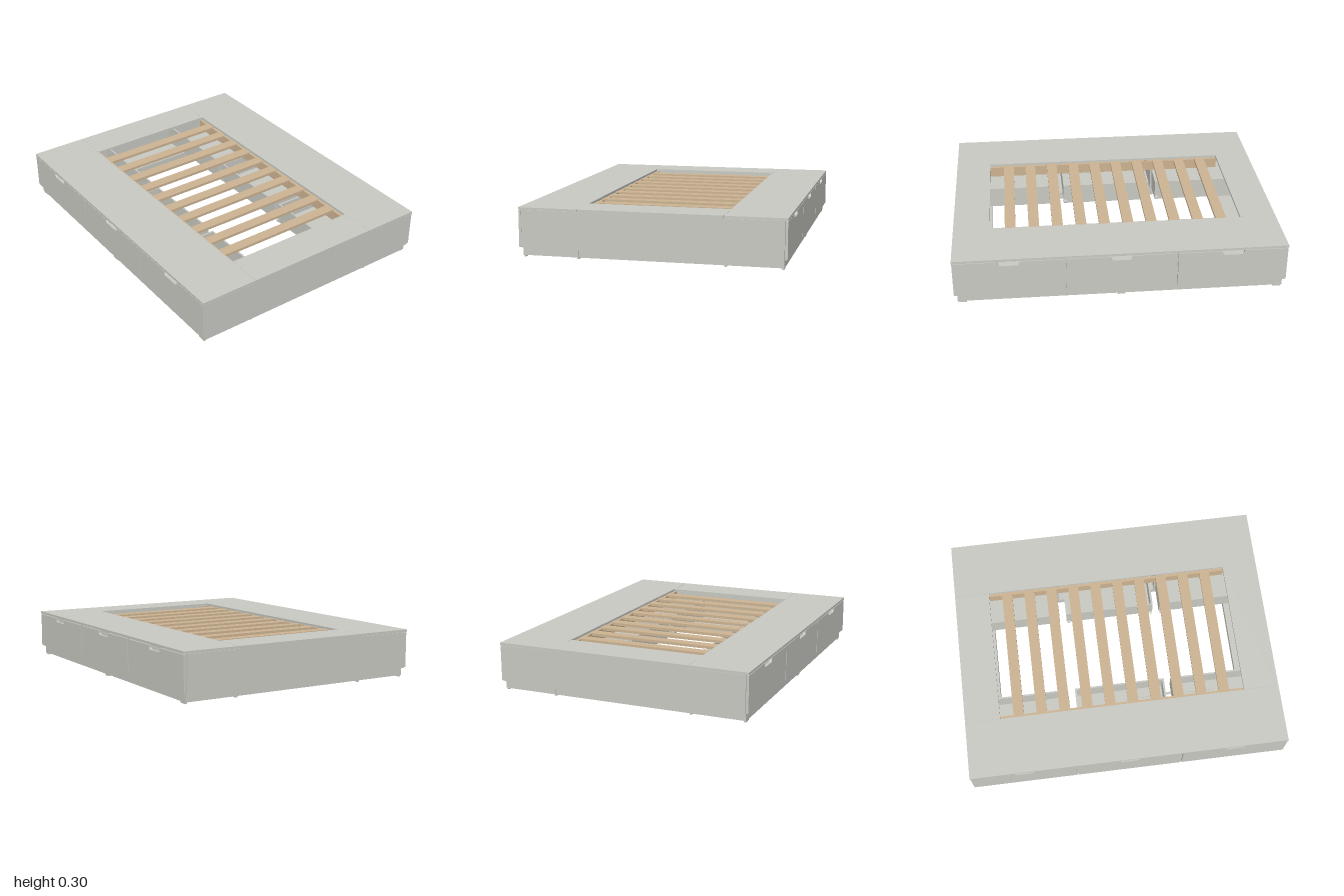
import * as THREE from 'three';

export function createModel() {
  const bed = new THREE.Group();
  bed.name = 'storageBed';
  const paint = new THREE.MeshStandardMaterial({ color: 0xc9cac3 });
  paint.name = 'pale grey paint';
  const wood = new THREE.MeshStandardMaterial({ color: 0xcdb493 });
  wood.name = 'light wood';

  // Box given by its minimum and maximum on each axis
  function box(parent, name, mat, x0, x1, y0, y1, z0, z1) {
    const mesh = new THREE.Mesh(new THREE.BoxGeometry(x1 - x0, y1 - y0, z1 - z0), mat);
    mesh.position.set((x0 + x1) / 2, (y0 + y1) / 2, (z0 + z1) / 2);
    mesh.name = name;
    parent.add(mesh);
    return mesh;
  }

  // Drawer front with a rounded finger notch in its upper edge
  function drawerFront(width) {
    const w = width / 2, h = 0.218, n = 0.065, d = 0.026, r = 0.018;
    const s = new THREE.Shape();
    s.moveTo(-w, 0);
    s.lineTo(w, 0);
    s.lineTo(w, h);
    s.lineTo(n, h);
    s.lineTo(n, h - d + r);
    s.quadraticCurveTo(n, h - d, n - r, h - d);
    s.lineTo(-n + r, h - d);
    s.quadraticCurveTo(-n, h - d, -n, h - d + r);
    s.lineTo(-n, h);
    s.lineTo(-w, h);
    const g = new THREE.ExtrudeGeometry(s, { depth: 0.015, bevelEnabled: false, curveSegments: 6 });
    g.rotateY(Math.PI / 2);
    return g;
  }
  const frontGeometry = drawerFront(0.66);

  // Each drawer: front, floor, back, two sides and rear rollers
  function makeDrawer(z, z0, z1) {
    const drawer = new THREE.Group();
    drawer.name = 'drawer';
    const front = new THREE.Mesh(frontGeometry, paint);
    front.name = 'drawerFront';
    front.position.set(0.777, 0.06, z);
    drawer.add(front);
    box(drawer, 'drawerFloor', paint, 0.26, 0.777, 0.068, 0.076, z0, z1);
    box(drawer, 'drawerBack', paint, 0.26, 0.27, 0.068, 0.2, z0, z1);
    box(drawer, 'drawerSide', paint, 0.27, 0.777, 0.068, 0.2, z0, z0 + 0.012);
    box(drawer, 'drawerSide', paint, 0.27, 0.777, 0.068, 0.2, z1 - 0.012, z1);
    for (const ze of [z0 + 0.012, z1 - 0.012]) {
      const roller = new THREE.Mesh(new THREE.CylinderGeometry(0.011, 0.011, 0.014, 16), paint);
      roller.rotation.x = Math.PI / 2;
      roller.position.set(0.256, 0.085, ze);
      roller.name = 'drawerRoller';
      drawer.add(roller);
    }
    return drawer;
  }

  // One storage side, facing +x
  function makeSide() {
    const side = new THREE.Group();
    side.name = 'storageSide';
    box(side, 'sideDeck', paint, 0.431, 0.793, 0.282, 0.297, -1, 1);
    box(side, 'sidePlinth', paint, 0.431, 0.773, 0.01, 0.055, -0.98, 0.98);
    for (const z of [-0.332, 0.332])
      box(side, 'divider', paint, 0.431, 0.773, 0.055, 0.282, z - 0.009, z + 0.009);
    side.add(makeDrawer(-0.667, -0.96, -0.335));
    side.add(makeDrawer(0, -0.29, 0.29));
    side.add(makeDrawer(0.667, 0.335, 0.96));
    box(side, 'slatRail', wood, 0.412, 0.43, 0.215, 0.281, -0.78, 0.78);
    for (const z of [-0.95, 0, 0.95])
      for (const x of [0.765, 0.437])
        box(side, 'foot', paint, x - 0.006, x + 0.006, 0, 0.01, z - 0.025, z + 0.025);
    return side;
  }
  const left = makeSide();
  const right = makeSide();
  right.rotation.y = Math.PI;
  bed.add(left, right);

  // Head and foot ends
  for (const turn of [0, Math.PI]) {
    const end = new THREE.Group();
    end.name = 'bedEnd';
    box(end, 'endPanel', paint, -0.775, 0.775, 0.057, 0.281, 0.982, 1);
    box(end, 'endPanelTop', paint, -0.43, 0.43, 0.281, 0.297, 0.982, 1);
    box(end, 'endDeck', paint, -0.43, 0.43, 0.282, 0.297, 0.778, 0.982);
    box(end, 'endPlinth', paint, -0.43, 0.43, 0.01, 0.055, 0.778, 0.98);
    end.rotation.y = turn;
    bed.add(end);
  }

  // Ten evenly spaced mattress slats
  for (let i = 0; i < 10; i++) {
    const z = -0.66 + i * 0.1458;
    box(bed, 'slat', wood, -0.43, 0.43, 0.268, 0.285, z - 0.033, z + 0.033);
  }

  // Narrow tie bar beside the right-hand drawers
  box(bed, 'tieBar', paint, -0.335, -0.32, 0.077, 0.085, 0.1, 0.62);

  return bed;
}
